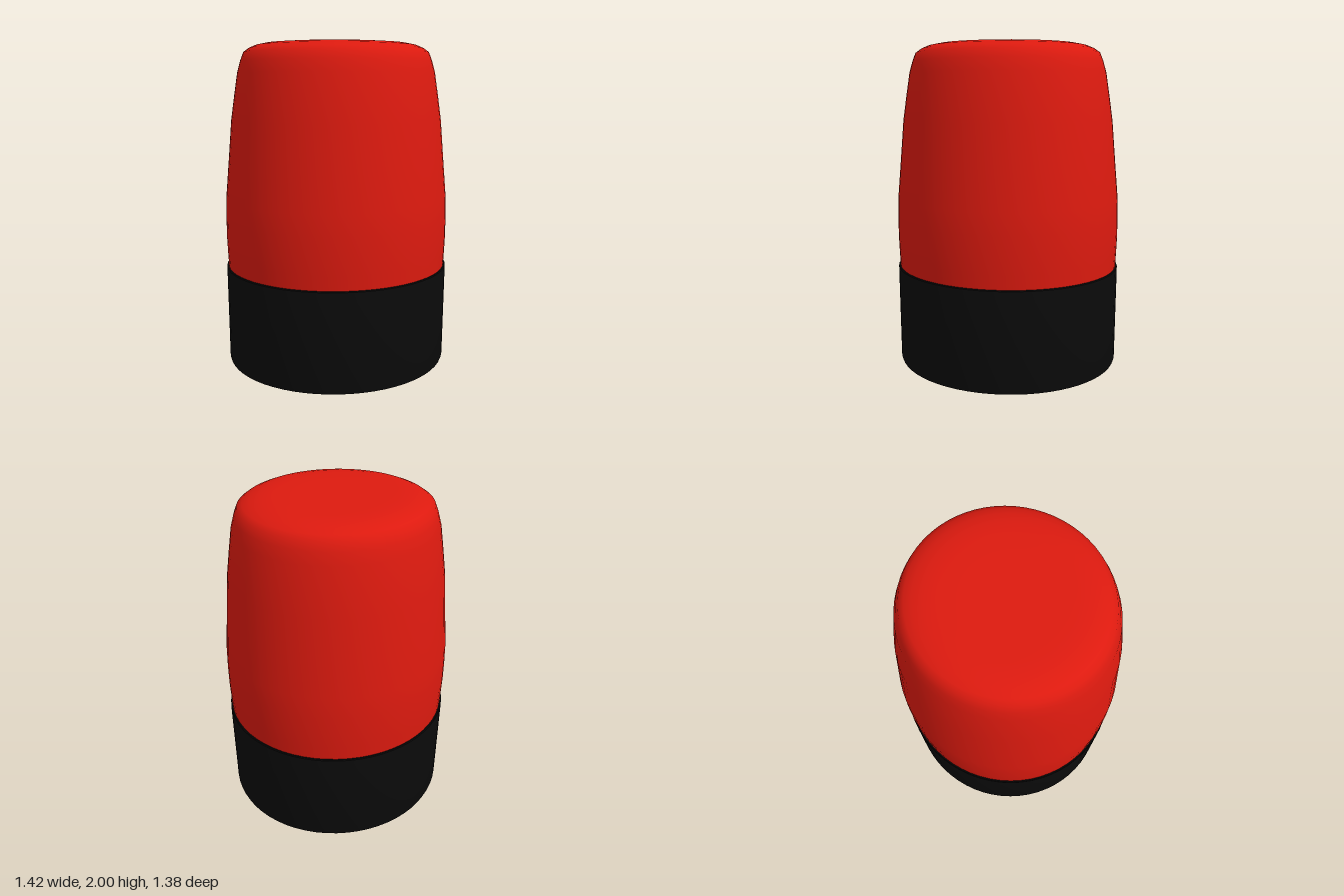
import * as THREE from 'three';
import { toCreasedNormals } from 'three/addons/utils/BufferGeometryUtils.js';

const SEGMENTS = 64;
const DEPTH = 0.973; // the section is slightly narrower front to back

// Turn a [radius, height] profile, listed from bottom to top, into a slightly oval solid
function turned(name, profile, color, crease) {
  const points = profile.map(([r, y]) => new THREE.Vector2(r, y));
  let geometry = new THREE.LatheGeometry(points, SEGMENTS);
  if (crease) geometry = toCreasedNormals(geometry, crease);
  geometry.scale(1, 1, DEPTH);
  const mesh = new THREE.Mesh(geometry, new THREE.MeshStandardMaterial({ color }));
  mesh.name = name;
  return mesh;
}

export function createModel() {
  const group = new THREE.Group();
  group.name = 'cappedContainer';

  // Black base with a small bottom bevel and a thin rim around the cap
  group.add(turned('base', [
    [0, 0], [0.685, 0], [0.7, 0.006], [0.705, 0.02],
    [0.71, 0.55], [0.71, 0.612], [0.706, 0.617], [0.69, 0.617],
  ], 0x0b0b0b, 0.6));

  // Red cap: slight belly, long taper, rounded shoulder and flat top
  group.add(turned('cap', [
    [0.698, 0.6], [0.703, 0.7], [0.707, 0.8], [0.707, 0.92], [0.704, 1.05],
    [0.683, 1.28], [0.661, 1.53], [0.639, 1.68], [0.617, 1.82],
    [0.597, 1.89], [0.577, 1.94], [0.545, 1.963], [0.5, 1.982],
    [0.44, 1.994], [0.37, 1.999], [0.25, 2], [0, 2],
  ], 0xdd1a0f));

  return group;
}
